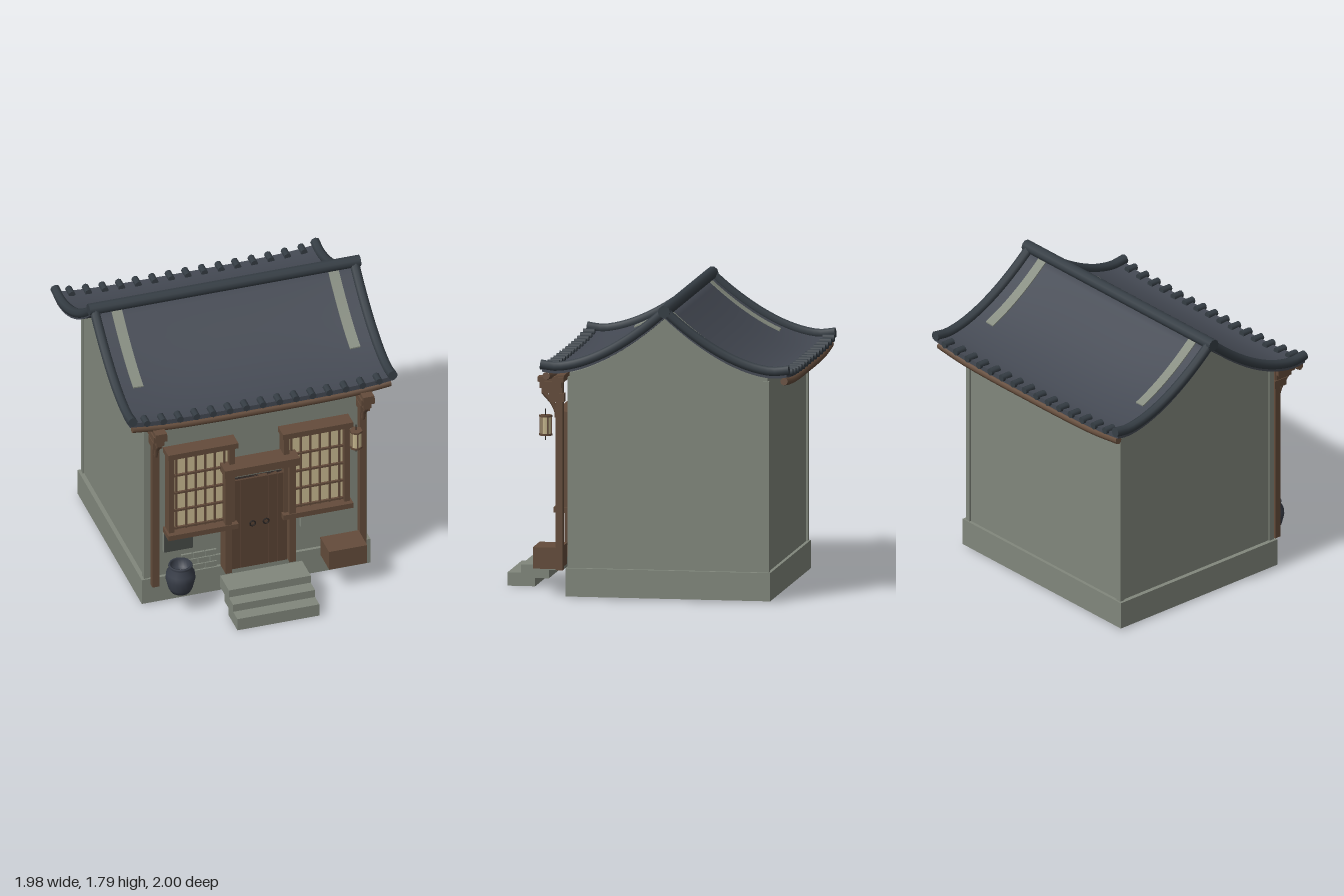
import * as THREE from 'three';

const mat = (name, color) => Object.assign(new THREE.MeshStandardMaterial({ color }), { name });

export function createModel() {
  const stone = mat('grey plaster', 0x81877c);
  const strip = mat('pale tile strip', 0x868c80);
  const dark = mat('dark stone patch', 0x474a47);
  const tile = mat('roof slate', 0x444953);
  const ridgeM = mat('ridge slate', 0x353d44);
  const wood = mat('brown wood', 0x644c3b);
  const doorM = mat('door wood', 0x5a4334);
  const iron = mat('dark iron', 0x2b2522);
  const paper = mat('window paper', 0xcbbc92);
  const glaze = mat('jar glaze', 0x3a3f4a);

  const model = new THREE.Group();
  const house = new THREE.Group();
  house.name = 'house';
  house.position.z = -0.085;
  house.rotation.y = -0.22;
  model.add(house);

  const add = (name, geo, material, x = 0, y = 0, z = 0, parent = house) => {
    const m = new THREE.Mesh(geo, material);
    m.name = name;
    m.position.set(x, y, z);
    parent.add(m);
    return m;
  };
  const box = (name, material, w, h, d, x, y, z, parent) =>
    add(name, new THREE.BoxGeometry(w, h, d), material, x, y, z, parent);
  const tube = (name, pts, r, material) => {
    const curve = new THREE.CatmullRomCurve3(pts);
    const mesh = add(name, new THREE.TubeGeometry(curve, 20, r, 8), material);
    // closed round ends
    [0, 1].forEach((t) => {
      const cap = add(name + 'End', new THREE.CircleGeometry(r, 8), material);
      cap.position.copy(curve.getPoint(t));
      const dir = curve.getTangent(t).multiplyScalar(t ? 1 : -1);
      cap.quaternion.setFromUnitVectors(new THREE.Vector3(0, 0, 1), dir);
    });
    return mesh;
  };

  // Height of the sweeping roof at distance z from the ridge
  const roofY = (x, z) => {
    const s = Math.abs(z);
    const sag = s < 0.68 ? 0.375 * Math.pow(1 - s / 0.68, 1.7) : (s - 0.68) * 0.12;
    return 1.355 + sag + 0.03 * Math.pow(Math.abs(x) / 0.83, 4) * (s / 0.74);
  };
  const bendToRoof = (geo, x0 = 0, z0 = 0) => {
    const p = geo.attributes.position;
    for (let i = 0; i < p.count; i++) {
      const x = p.getX(i) + x0, z = p.getZ(i) + z0;
      p.setXYZ(i, x, p.getY(i) + roofY(x, z), z);
    }
    geo.computeVertexNormals();
    return geo;
  };

  // Plinth and walls with gables
  box('plinth', stone, 1.434, 0.17, 1.24, 0, 0.095, 0);
  const gable = new THREE.Shape();
  gable.moveTo(-0.6, 0.17);
  gable.lineTo(0.6, 0.17);
  for (let i = 0; i <= 24; i++) {
    const z = 0.6 - i * 0.05;
    gable.lineTo(z, roofY(0, z) - 0.01);
  }
  const wallGeo = new THREE.ExtrudeGeometry(gable, { depth: 1.38, bevelEnabled: false });
  wallGeo.translate(0, 0, -0.69).rotateY(-Math.PI / 2);
  add('walls', wallGeo, stone);
  for (const sx of [-1, 1]) for (const sz of [-1, 1])
    box('cornerPier', stone, 0.035, 1.15, 0.035, sx * 0.682, 0.755, sz * 0.592);

  // Roof slab, pale strips, ridge and verge tubes
  add('roof', bendToRoof(new THREE.BoxGeometry(1.66, 0.03, 1.48, 14, 1, 32)), tile);
  for (const sx of [-1, 1]) {
    for (const sz of [-1, 1])
      add('roofStrip', bendToRoof(new THREE.BoxGeometry(0.065, 0.008, 0.42, 1, 1, 10), sx * 0.68, sz * 0.23), strip)
        .position.y = 0.019;
    for (const sz of [-1, 1]) {
      const pts = [];
      for (let i = 0; i <= 8; i++) {
        const z = sz * i * 0.094;
        pts.push(new THREE.Vector3(sx * 0.815, roofY(0.83, z) + 0.025, z));
      }
      tube('vergeTile', pts, 0.03, ridgeM);
    }
  }
  add('ridge', new THREE.CylinderGeometry(0.037, 0.037, 1.7, 10), ridgeM, 0, 1.757, 0).rotation.z = Math.PI / 2;

  // Eave tile ends and curved eave poles
  for (const sz of [-1, 1]) {
    for (let i = -7; i <= 7; i++) {
      const x = i * 0.104;
      const end = add('eaveTile', new THREE.CylinderGeometry(0.022, 0.022, 0.07, 8), ridgeM, x, roofY(x, 0.73) + 0.018, sz * 0.725);
      end.rotation.x = Math.PI / 2;
    }
    const pts = [-0.81, -0.6, -0.3, 0, 0.3, 0.6, 0.81].map(
      (x) => new THREE.Vector3(x, 1.318 + 0.032 * Math.pow(Math.abs(x) / 0.81, 4), sz * 0.72));
    tube('eavePole', pts, 0.023, wood);
  }

  // Front posts, beam and stepped brackets
  box('frontBeam', wood, 1.36, 0.04, 0.05, 0, 1.315, 0.66);
  for (const sx of [-1, 1]) {
    const x = sx * 0.65;
    box('frontPost', wood, 0.042, 1.15, 0.042, x, 0.735, 0.665);
    box('bracketBlock', wood, 0.06, 0.05, 0.09, x, 1.2, 0.68);
    box('bracketArm', wood, 0.05, 0.04, 0.12, x, 1.245, 0.71);
    box('bracketCross', wood, 0.085, 0.04, 0.13, x, 1.28, 0.715);
    box('bracketTop', wood, 0.07, 0.03, 0.16, x, 1.31, 0.715);
    const brace = new THREE.CatmullRomCurve3([
      new THREE.Vector3(x, 1.1, 0.68), new THREE.Vector3(x, 1.16, 0.705), new THREE.Vector3(x, 1.23, 0.765)]);
    add('bracketBrace', new THREE.TubeGeometry(brace, 8, 0.014, 6), wood);
  }

  // Lattice windows
  for (const sx of [-1, 1]) {
    const w = new THREE.Group();
    w.name = 'window';
    w.position.set(sx * 0.36, 0, 0);
    house.add(w);
    box('windowPaper', paper, 0.37, 0.54, 0.03, 0, 0.795, 0.63, w);
    box('windowHead', wood, 0.44, 0.036, 0.1, 0, 1.085, 0.66, w);
    box('windowSill', wood, 0.44, 0.034, 0.11, 0, 0.51, 0.66, w);
    for (const s of [-1, 1]) box('windowJamb', wood, 0.034, 0.56, 0.08, s * 0.19, 0.795, 0.645, w);
    for (let i = 0; i < 6; i++) box('latticeUpright', wood, 0.011, 0.54, 0.014, -0.15 + i * 0.06, 0.795, 0.652, w);
    for (let i = 0; i < 5; i++) box('latticeRail', wood, 0.37, 0.013, 0.014, 0, 0.54 + i * 0.125, 0.656, w);
    // Stone panel under the window
    box('underPanel', stone, 0.3, 0.135, 0.03, sx * 0.43, 0.4225, 0.61);
  }
  box('panelPatch', dark, 0.18, 0.13, 0.008, -0.49, 0.4225, 0.628);

  // Exposed brick patch near the jar
  for (let r = 0; r < 3; r++) for (let c = 0; c < 3; c++)
    box('brick', stone, 0.07, 0.036, 0.014, -0.43 + c * 0.075 + (r % 2) * 0.03, 0.2 + r * 0.042, 0.606);

  // Plank door with frame, lintel and ring handles
  for (let i = 0; i < 6; i++)
    box('doorPlank', doorM, 0.057, 0.63, 0.03, -0.1475 + i * 0.059, 0.495, 0.66);
  box('doorBacking', iron, 0.36, 0.63, 0.02, 0, 0.495, 0.65);
  box('doorSurround', stone, 0.4, 0.72, 0.05, 0, 0.54, 0.615);
  for (const s of [-1, 1]) {
    box('doorJamb', wood, 0.04, 0.72, 0.1, s * 0.2, 0.54, 0.66);
    add('doorRing', new THREE.TorusGeometry(0.017, 0.005, 6, 14), iron, s * 0.042, 0.49, 0.682);
  }
  box('doorLintel', wood, 0.47, 0.052, 0.13, 0, 0.915, 0.68);

  // Three steps
  for (let i = 0; i < 3; i++)
    box('step', stone, 0.514, 0.08, 0.168, 0, 0.04 + i * 0.05, 0.966 - i * 0.083);

  // Wooden crate with lid seam
  box('crate', wood, 0.236, 0.122, 0.165, 0.508, 0.221, 0.7475);
  box('crateLid', wood, 0.24, 0.014, 0.169, 0.508, 0.282, 0.7475);

  // Glazed jar
  const jar = [[0, 0], [0.06, 0], [0.075, 0.03], [0.09, 0.09], [0.086, 0.13], [0.066, 0.165],
    [0.074, 0.178], [0.07, 0.188], [0.058, 0.184], [0.056, 0.13], [0, 0.12]]
    .map(([x, y]) => new THREE.Vector2(x, y));
  add('jar', new THREE.LatheGeometry(jar, 20), glaze, -0.512, 0.142, 0.735);

  // Hanging paper lantern
  const lantern = new THREE.Group();
  lantern.name = 'lantern';
  lantern.position.set(0.58, 1.02, 0.762);
  house.add(lantern);
  add('lanternPaper', new THREE.CylinderGeometry(0.034, 0.034, 0.11, 6), paper, 0, 0, 0, lantern);
  for (const s of [-1, 1])
    add('lanternCap', new THREE.CylinderGeometry(0.04, 0.04, 0.012, 6), wood, 0, s * 0.056, 0, lantern);
  for (let i = 0; i < 6; i++) {
    const a = i * Math.PI / 3;
    box('lanternRib', wood, 0.006, 0.11, 0.006, Math.sin(a) * 0.035, 0, Math.cos(a) * 0.035, lantern);
  }
  add('lanternCord', new THREE.CylinderGeometry(0.003, 0.003, 0.19, 5), iron, 0, 0.005, 0, lantern);

  return model;
}
